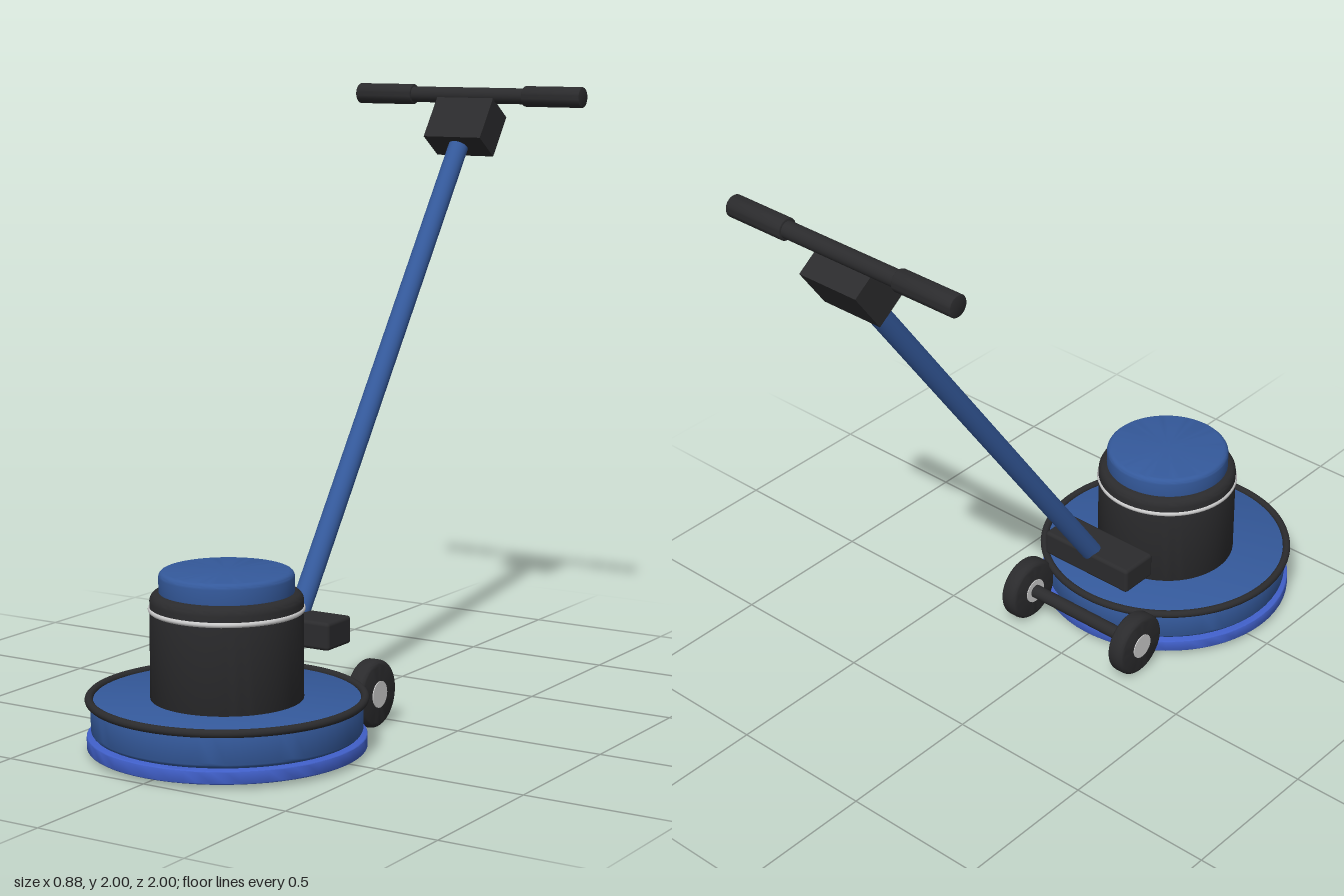
import * as THREE from 'three';
import { toCreasedNormals } from 'three/addons/utils/BufferGeometryUtils.js';
import { RoundedBoxGeometry } from 'three/addons/geometries/RoundedBoxGeometry.js';

const mat = (color) => new THREE.MeshStandardMaterial({ color });

// Solid disc along y with rounded rims (bevel b0 at the bottom, b1 at the top)
function roundedDisc(r, y0, y1, b0, b1 = b0, segments = 64) {
  const pts = [new THREE.Vector2(0, y0)];
  const steps = 5;
  for (let i = 0; i <= steps; i++) {
    const a = (i / steps) * Math.PI / 2;
    pts.push(new THREE.Vector2(r - b0 + b0 * Math.sin(a), y0 + b0 - b0 * Math.cos(a)));
  }
  for (let i = 0; i <= steps; i++) {
    const a = (i / steps) * Math.PI / 2;
    pts.push(new THREE.Vector2(r - b1 + b1 * Math.cos(a), y1 - b1 + b1 * Math.sin(a)));
  }
  pts.push(new THREE.Vector2(0, y1));
  return toCreasedNormals(new THREE.LatheGeometry(pts, segments), 0.6);
}

export function createModel() {
  const model = new THREE.Group();
  model.name = 'floorPolisher';
  const blue = mat(0x34599b);
  const padBlue = mat(0x405fc8);
  const black = mat(0x2b2b2d);
  const silver = mat(0xcccccc);

  const add = (name, geometry, material, x = 0, y = 0, z = 0, parent = model) => {
    const mesh = new THREE.Mesh(geometry, material);
    mesh.name = name;
    mesh.position.set(x, y, z);
    parent.add(mesh);
    return mesh;
  };

  // Round base with pad, deck and bumper
  const headZ = 0.56;
  add('pad', roundedDisc(0.433, 0.015, 0.057, 0.005), padBlue, 0, 0, headZ);
  add('deck', roundedDisc(0.42, 0.057, 0.168, 0.02, 0.005), blue, 0, 0, headZ);
  const bumper = add('bumper', new THREE.TorusGeometry(0.425, 0.013, 12, 72), black, 0, 0.168, headZ);
  bumper.rotation.x = Math.PI / 2;

  // Motor with trim ring and cap
  add('motor', roundedDisc(0.237, 0.16, 0.5, 0.005, 0.028), black, 0, 0, headZ);
  const ring = add('trimRing', new THREE.TorusGeometry(0.233, 0.009, 10, 72), silver, 0, 0.447, headZ);
  ring.rotation.x = Math.PI / 2;
  add('motorCap', roundedDisc(0.209, 0.49, 0.565, 0.012, 0.018), blue, 0, 0, headZ);

  // Hinge block at the foot of the handle
  add('hingeBlock', new RoundedBoxGeometry(0.36, 0.09, 0.14, 3, 0.012), black, 0, 0.315, 0.193);

  // Transport wheels on an axle
  const axleY = 0.11, axleZ = 0.1;
  const axle = add('axle', new THREE.CylinderGeometry(0.023, 0.023, 0.44, 24), black, 0, axleY, axleZ);
  axle.rotation.z = Math.PI / 2;
  for (const side of [1, -1]) {
    const wheel = new THREE.Group();
    wheel.name = side > 0 ? 'leftWheel' : 'rightWheel';
    wheel.position.set(side * 0.238, axleY, axleZ);
    wheel.rotation.z = -side * Math.PI / 2;
    add('tyre', roundedDisc(0.109, -0.032, 0.032, 0.018, 0.018, 40), black, 0, 0, 0, wheel);
    add('hub', new THREE.CylinderGeometry(0.043, 0.043, 0.07, 28), silver, 0, 0, 0, wheel);
    model.add(wheel);
  }

  // Sloping handle: tube and control box share one tilted axis
  const handle = new THREE.Group();
  handle.name = 'handle';
  handle.position.set(0, 0.345, 0.156);
  handle.rotation.x = -0.613;
  add('tube', new THREE.CylinderGeometry(0.034, 0.034, 1.8, 32), blue, 0, 0.9, 0, handle);
  add('controlBox', new THREE.BoxGeometry(0.22, 0.16, 0.118), black, 0, 1.85, 0, handle);
  model.add(handle);

  // Crossbar with a grip at each end
  const barY = 1.965, barZ = -0.936;
  const bar = add('crossbar', new THREE.CylinderGeometry(0.027, 0.027, 0.8, 24), black, 0, barY, barZ);
  bar.rotation.z = Math.PI / 2;
  for (const side of [1, -1]) {
    const grip = add(side > 0 ? 'leftGrip' : 'rightGrip',
      roundedDisc(0.035, -0.11, 0.11, 0.004, 0.004, 32), black, side * 0.328, barY, barZ);
    grip.rotation.z = Math.PI / 2;
  }
  return model;
}
